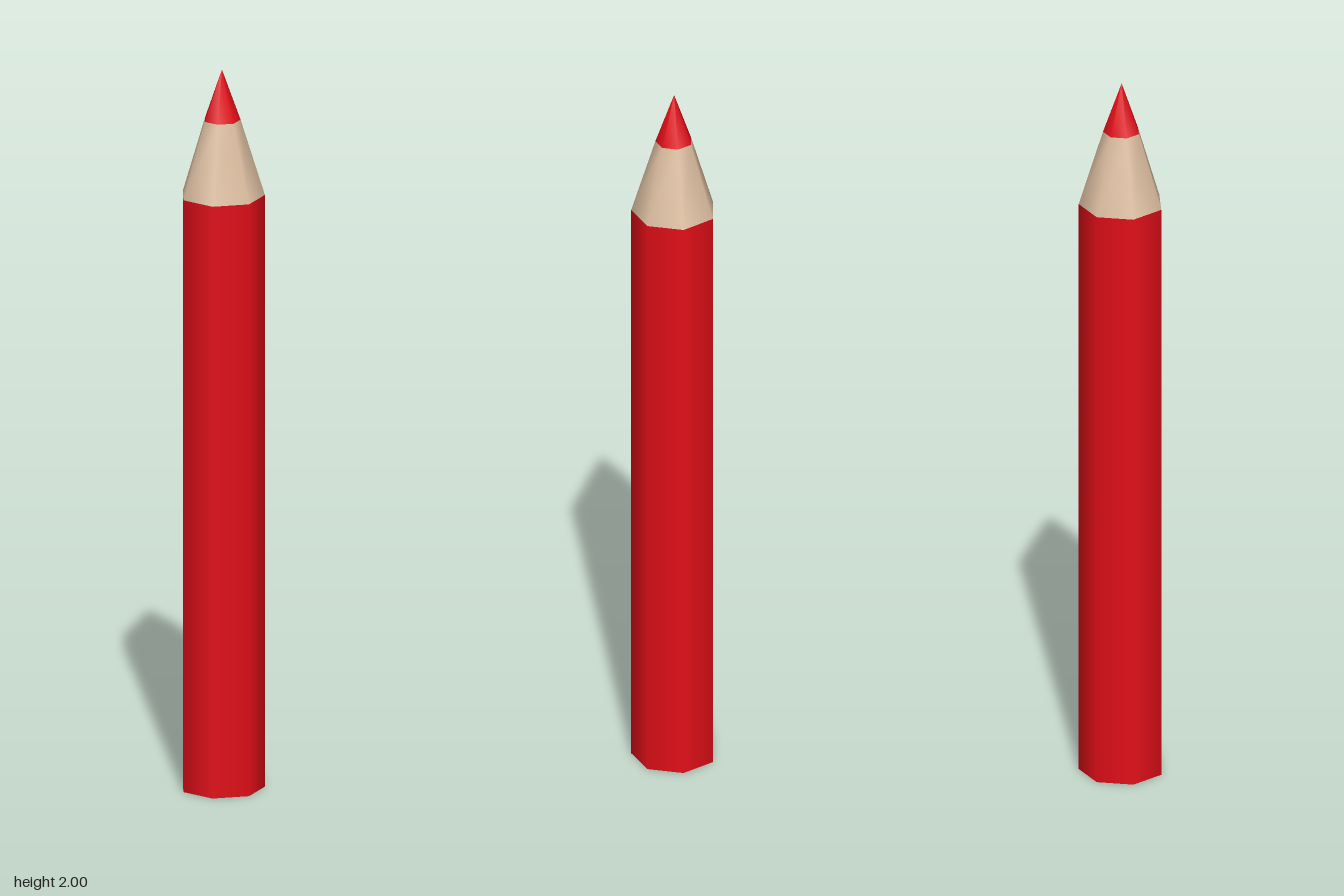
import * as THREE from 'three';

const SIDES = 7;
const AXIS_Z = 0.0055; // centres the seven-sided section's bounds on z = 0

export function createModel() {
  const pencil = new THREE.Group();
  pencil.name = 'pencil';
  const red = new THREE.MeshStandardMaterial({ color: 0xe30e18 });
  const wood = new THREE.MeshStandardMaterial({ color: 0xdcbea0 });

  const add = (name, geometry, material, y) => {
    const mesh = new THREE.Mesh(geometry, material);
    mesh.name = name;
    mesh.position.set(0, y, AXIS_Z);
    pencil.add(mesh);
  };

  // Open smooth-shaded section with one corner at the back
  const section = (name, bottomRadius, topRadius, y0, y1, material) =>
    add(name, new THREE.CylinderGeometry(topRadius, bottomRadius, y1 - y0, SIDES, 1, true, Math.PI),
      material, (y0 + y1) / 2);

  section('paintedBody', 0.115, 0.115, 0, 1.65, red);
  section('sharpenedWood', 0.115, 0.05, 1.65, 1.86, wood);
  section('leadTip', 0.05, 0, 1.86, 2, red);

  // Bare wood end, facing down
  const end = new THREE.CircleGeometry(0.115, SIDES, -Math.PI / 2);
  end.rotateX(Math.PI / 2);
  add('woodEnd', end, wood, 0);

  return pencil;
}
